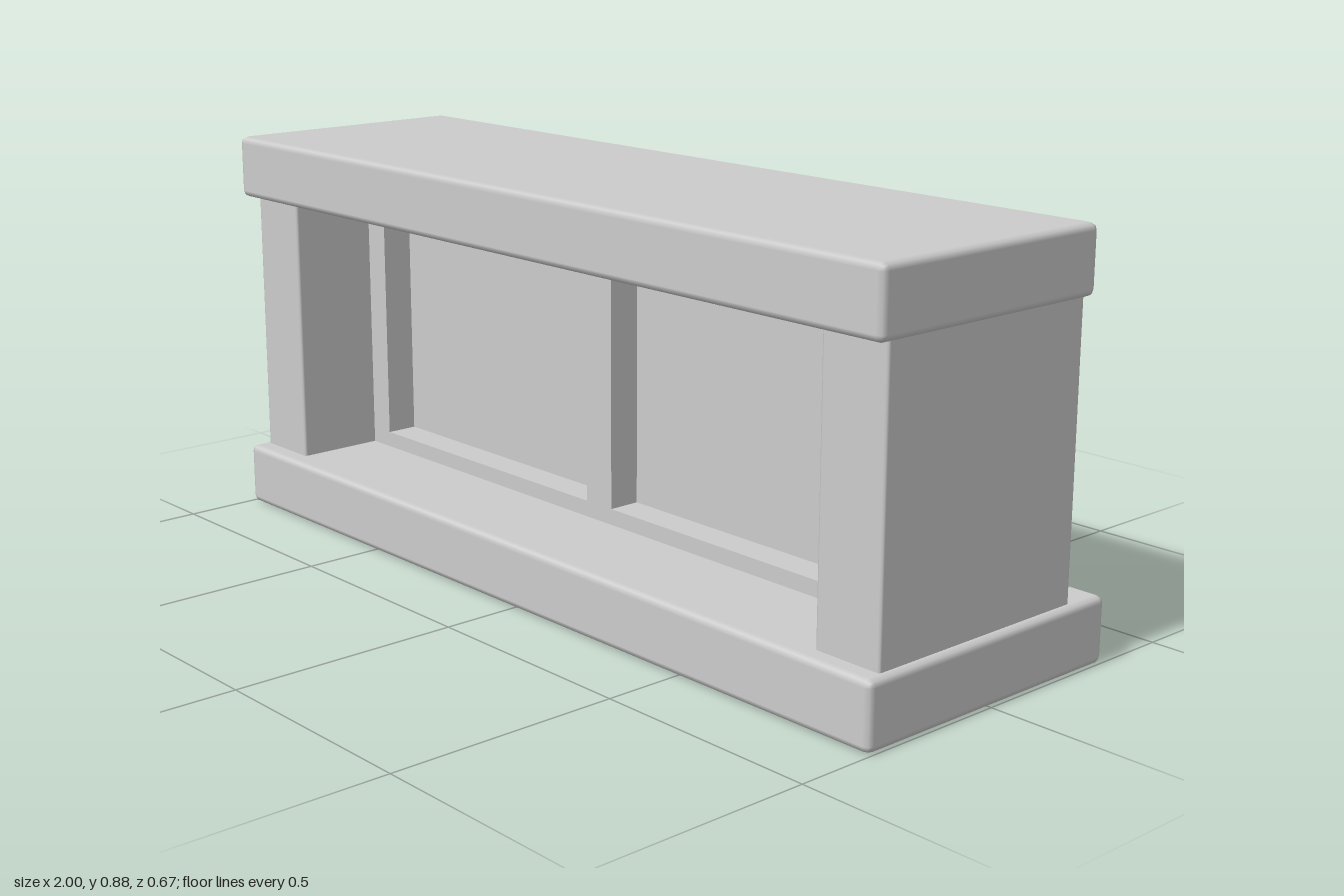
import * as THREE from 'three';
import { RoundedBoxGeometry } from 'three/addons/geometries/RoundedBoxGeometry.js';

const material = new THREE.MeshStandardMaterial({ color: 0xcccccc });

// Box with softened edges, given by its extents on each axis
function softBox(name, [x0, x1], [y0, y1], [z0, z1], radius) {
  const geometry = new RoundedBoxGeometry(x1 - x0, y1 - y0, z1 - z0, 1, radius);
  const mesh = new THREE.Mesh(geometry, material);
  mesh.position.set((x0 + x1) / 2, (y0 + y1) / 2, (z0 + z1) / 2);
  mesh.name = name;
  return mesh;
}

// Rectangle traced into a shape or hole path
function rectangle(path, x0, x1, y0, y1) {
  path.moveTo(x0, y0);
  path.lineTo(x1, y0);
  path.lineTo(x1, y1);
  path.lineTo(x0, y1);
  path.closePath();
  return path;
}

export function createModel() {
  const model = new THREE.Group();
  model.name = 'counter';

  // Plinth and the shallower top slab, which stops short at the back
  model.add(softBox('base', [-1, 1], [0, 0.14], [-0.335, 0.335], 0.015));
  model.add(softBox('top', [-1, 1], [0.74, 0.88], [-0.255, 0.33], 0.015));

  // End posts
  for (const side of [-1, 1]) {
    const x = [0.827, 0.983].map((v) => v * side).sort((a, b) => a - b);
    const name = side > 0 ? 'leftPost' : 'rightPost';
    model.add(softBox(name, x, [0.13, 0.75], [-0.242, 0.293], 0.006));
  }

  // Frame with two openings, set back between the posts
  const outline = rectangle(new THREE.Shape(), -0.83, 0.83, 0.135, 0.745);
  outline.holes.push(rectangle(new THREE.Path(), -0.765, -0.04, 0.175, 0.685));
  outline.holes.push(rectangle(new THREE.Path(), 0.04, 0.765, 0.175, 0.685));
  const frame = new THREE.Mesh(
    new THREE.ExtrudeGeometry(outline, { depth: 0.14, bevelEnabled: false }),
    material
  );
  frame.position.z = -0.045;
  frame.name = 'frame';
  model.add(frame);

  // Thin panels closing the openings
  for (const side of [-1, 1]) {
    const panel = new THREE.Mesh(new THREE.BoxGeometry(0.735, 0.52, 0.01), material);
    panel.position.set(side * 0.4025, 0.43, 0.018);
    panel.name = side > 0 ? 'leftPanel' : 'rightPanel';
    model.add(panel);
  }

  return model;
}
